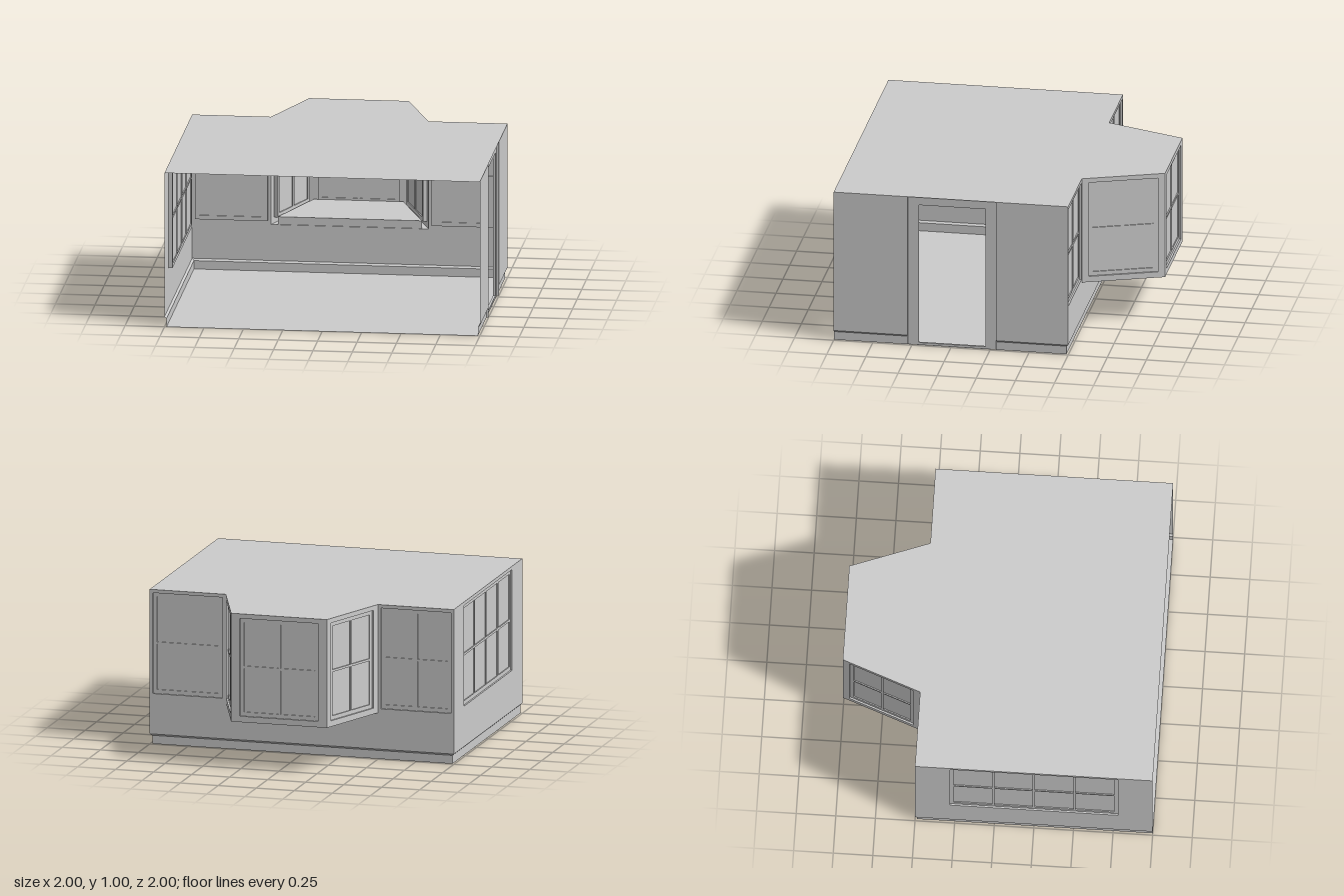
import * as THREE from 'three';

const mat = new THREE.MeshStandardMaterial({ color: 0xcccccc, flatShading: true, side: THREE.DoubleSide });

function mesh(name, geometry, parent) {
  const m = new THREE.Mesh(geometry, mat);
  m.name = name;
  parent.add(m);
  return m;
}

const shapeOf = (pts) => new THREE.Shape(pts.map(([x, y]) => new THREE.Vector2(x, y)));
const rect = (x0, y0, x1, y1) => [[x0, y0], [x1, y0], [x1, y1], [x0, y1]];

function withHoles(pts, holes) {
  const s = shapeOf(pts);
  holes.forEach((h) => s.holes.push(new THREE.Path(h.map(([x, y]) => new THREE.Vector2(x, y)))));
  return s;
}

// Quad strip joining a row of 3D paths with equal point counts
function strip(...paths) {
  const pos = [];
  for (let r = 0; r < paths.length - 1; r++) {
    const a = paths[r], b = paths[r + 1];
    for (let i = 0; i < a.length - 1; i++) {
      pos.push(...a[i], ...a[i + 1], ...b[i + 1], ...a[i], ...b[i + 1], ...b[i]);
    }
  }
  const g = new THREE.BufferGeometry();
  g.setAttribute('position', new THREE.Float32BufferAttribute(pos, 3));
  g.computeVertexNormals();
  return g;
}

// Frame with a slab thickness, between local depths z0 and z1
function frameSlab(outline, holes, z0, z1) {
  return new THREE.ExtrudeGeometry(withHoles(outline, holes), { depth: z1 - z0, bevelEnabled: false }).translate(0, 0, z0);
}

// Horizontal plan outline (x, z) to a flat or thick slab at height y
const plan = (pts) => shapeOf(pts.map(([x, z]) => [x, -z]));
const level = (geometry, y) => geometry.rotateX(-Math.PI / 2).translate(0, y, 0);

const RECESS = -0.011, INNER = -0.025, BORDER = 0.026, BAR = 0.015;

// Recessed window: reveal, frame with glazing bars, and panes
function addWindow(parent, [x0, y0, x1, y1, cols]) {
  const win = new THREE.Group();
  win.name = 'window';
  parent.add(win);
  const outline = rect(x0, y0, x1, y1);
  const ring = [...outline, outline[0]];
  mesh('windowReveal', strip(ring.map(([x, y]) => [x, y, 0]), ring.map(([x, y]) => [x, y, RECESS])), win);
  const pw = (x1 - x0 - 2 * BORDER - (cols - 1) * BAR) / cols;
  const ph = (y1 - y0 - 2 * BORDER - BAR) / 2;
  const holes = [];
  for (let c = 0; c < cols; c++) {
    for (let r = 0; r < 2; r++) {
      const px = x0 + BORDER + c * (pw + BAR), py = y0 + BORDER + r * (ph + BAR);
      holes.push(rect(px, py, px + pw, py + ph));
    }
  }
  mesh('windowFrame', frameSlab(outline, holes, INNER, RECESS), win);
  const glass = new THREE.PlaneGeometry(x1 - x0 - 0.02, y1 - y0 - 0.02);
  mesh('windowPanes', glass.translate((x0 + x1) / 2, (y0 + y1) / 2, (INNER + RECESS) / 2), win);
}

// Wall group running from a to b in plan; local x along the wall, local z outward
function wall(name, parent, [ax, az], [bx, bz], pieces, windows = []) {
  const g = new THREE.Group();
  g.name = name;
  g.position.set(ax, 0, az);
  g.rotation.y = Math.atan2(az - bz, bx - ax);
  parent.add(g);
  pieces.forEach((pts) => {
    const xs = pts.map((p) => p[0]), lo = Math.min(...xs), hi = Math.max(...xs);
    const holes = windows.filter((w) => w[0] > lo && w[2] < hi).map((w) => rect(w[0], w[1], w[2], w[3]));
    mesh('wallPanel', new THREE.ShapeGeometry(withHoles(pts, holes)), g);
  });
  windows.forEach((w) => addWindow(g, w));
  return g;
}

export function createModel() {
  const room = new THREE.Group();
  room.name = 'room';
  const W0 = 0.066, SK = 0.054, IN = 0.013, SILL = 0.3;

  // Ceiling and floor
  const bay = [[0.5, -0.5], [0.315, -1], [-0.315, -1], [-0.5, -0.5]];
  mesh('ceiling', level(new THREE.ShapeGeometry(plan([[1, 1], [1, -0.5], ...bay, [-1, -0.5], [-1, 1]])), 1), room);
  const f = 1 - IN;
  mesh('floor', level(new THREE.ShapeGeometry(plan([[f, 1], [f, -0.5 + IN], [-f, -0.5 + IN], [-f, 1]])), 0), room);

  // Back wall, notched for the bay, with a window on each side
  wall('backWall', room, [1, -0.5], [-1, -0.5],
    [[[0, W0], [2, W0], [2, 1], [1.5, 1], [1.5, SILL], [0.5, SILL], [0.5, 1], [0, 1]]],
    [[0.02, 0.327, 0.48, 0.978, 2], [1.52, 0.327, 1.98, 0.978, 2]]);

  // Side wall with the wide window
  wall('rightWall', room, [-1, -0.5], [-1, 1], [rect(0, W0, 1.5, 1)], [[0.22, 0.327, 1.28, 0.978, 4]]);

  // Side wall with the doorway
  const d0 = 0.472, d1 = 1.038;
  const doorWall = wall('leftWall', room, [1, 1], [1, -0.5], [rect(0, W0, d0, 1), rect(d1, W0, 1.5, 1)]);
  mesh('doorFrame', frameSlab(rect(d0, 0, d1, 1), [rect(0.542, 0.015, 0.97, 0.943)], -0.03, -0.015), doorWall);
  [d0, d1].forEach((x) => mesh('doorReveal', strip([[x, 0, 0], [x, 1, 0]], [[x, 0, -0.015], [x, 1, -0.015]]), doorWall));

  // Recessed skirting with a sloped top, broken at the doorway
  const inset = ([x, z]) => [Math.sign(x) * f, Math.max(z, -0.5 + IN)];
  [[[1, 1], [1, 1 - d0]], [[1, 1 - d1], [1, -0.5], [-1, -0.5], [-1, 1]]].forEach((path) => {
    const at = (pts, y) => pts.map(([x, z]) => [x, y, z]);
    const inner = path.map(inset);
    mesh('skirting', strip(at(path, W0), at(inner, SK), at(inner, 0)), room);
  });

  // Bay: three windowed walls, underside and seat
  const bayGroup = new THREE.Group();
  bayGroup.name = 'bay';
  room.add(bayGroup);
  for (let i = 0; i < 3; i++) {
    const [a, b] = [bay[i], bay[i + 1]];
    const len = Math.hypot(b[0] - a[0], b[1] - a[1]);
    const m = i === 1 ? 0.057 : 0.045;
    wall('bayWall', bayGroup, a, b, [rect(0, SILL, len, 1)], [[m, 0.338, len - m, 0.97, 2]]);
  }
  mesh('bayFloor', level(new THREE.ShapeGeometry(plan(bay)), SILL), bayGroup);
  const seat = plan([[0.457, -0.5], [0.285, -0.97], [-0.285, -0.97], [-0.457, -0.5]]);
  mesh('baySeat', level(new THREE.ExtrudeGeometry(seat, { depth: 0.05, bevelEnabled: false }), SILL + 0.002), bayGroup);

  return room;
}
